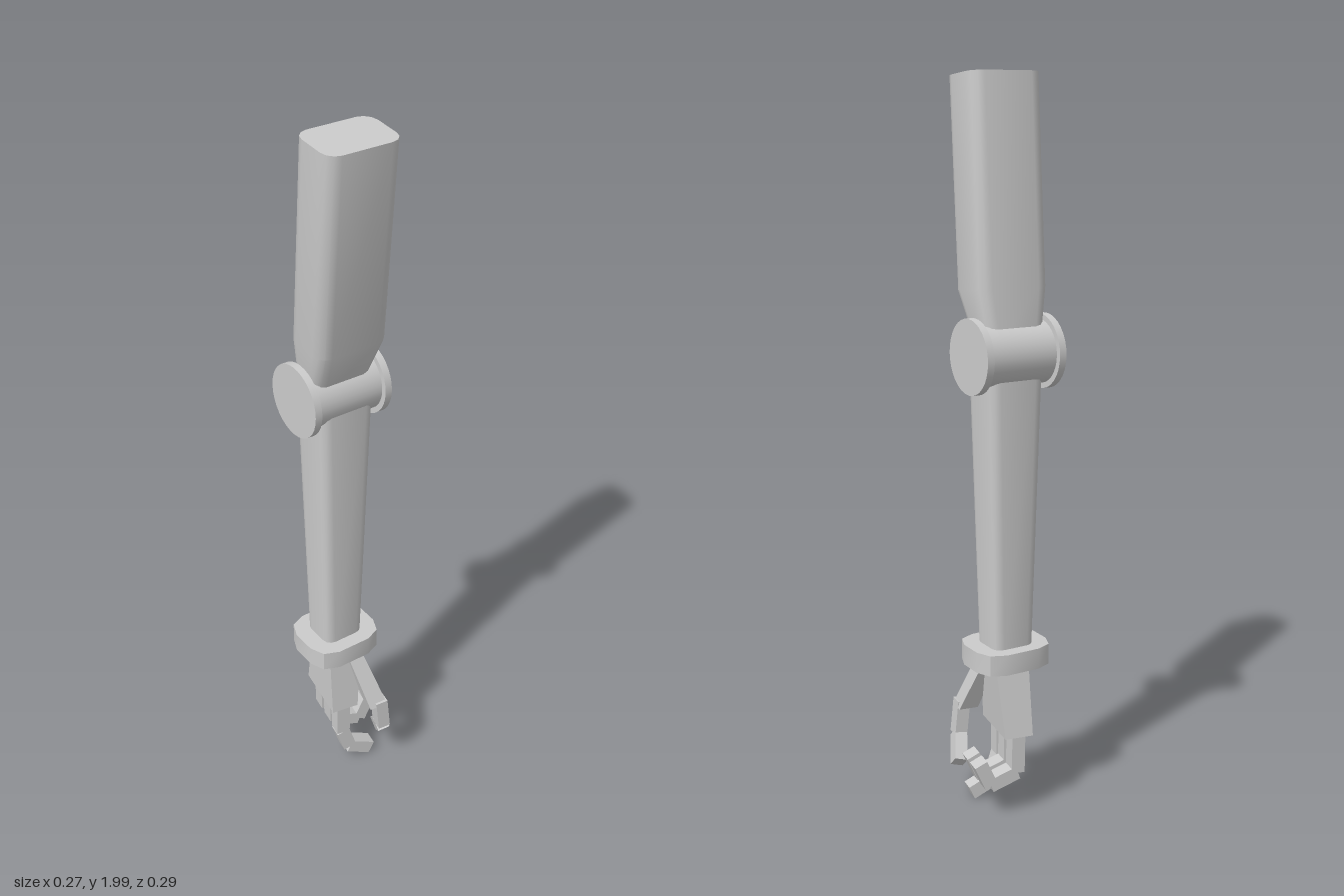
import * as THREE from 'three';
import { toCreasedNormals } from 'three/addons/utils/BufferGeometryUtils.js';

const material = new THREE.MeshStandardMaterial({ color: 0xcccccc });
const YAW = THREE.MathUtils.degToRad(10);
const TILT = THREE.MathUtils.degToRad(5.5);

function addMesh(parent, name, geometry) {
  const mesh = new THREE.Mesh(geometry, material);
  mesh.name = name;
  parent.add(mesh);
  return mesh;
}

// Loft through rounded rectangles: { y, x, z, w, d, r }, k arc steps per corner
function loft(sections, k) {
  const pos = [], index = [], n = 4 * (k + 1);
  for (const { y, x = 0, z = 0, w, d, r = 0 } of sections) {
    for (let c = 0; c < 4; c++) {
      const sx = c === 0 || c === 3 ? 1 : -1, sz = c < 2 ? 1 : -1;
      for (let j = 0; j <= k; j++) {
        const a = (c + (k ? j / k : 0)) * Math.PI / 2;
        pos.push(x + sx * (w / 2 - r) + r * Math.cos(a), y, z + sz * (d / 2 - r) + r * Math.sin(a));
      }
    }
  }
  const last = (sections.length - 1) * n;
  for (let s = 0; s < last; s += n) {
    for (let i = 0; i < n; i++) {
      const a = s + i, b = s + (i + 1) % n;
      index.push(a, a + n, b, b, a + n, b + n);
    }
  }
  for (let i = 1; i < n - 1; i++) {
    index.push(0, i, i + 1, last, last + i + 1, last + i);
  }
  const g = new THREE.BufferGeometry();
  g.setAttribute('position', new THREE.Float32BufferAttribute(pos, 3));
  g.setIndex(index);
  return toCreasedNormals(g, 0.6);
}

// Box phalanges along a chain of points
function digit(parent, name, points, thick, width) {
  const group = new THREE.Group();
  group.name = name;
  for (let i = 0; i < points.length - 1; i++) {
    const a = new THREE.Vector3(...points[i]), b = new THREE.Vector3(...points[i + 1]);
    const dir = b.clone().sub(a);
    const bone = addMesh(group, 'phalanx', new THREE.BoxGeometry(thick, dir.length(), width));
    bone.position.copy(a).add(b).multiplyScalar(0.5);
    bone.quaternion.setFromUnitVectors(new THREE.Vector3(0, -1, 0), dir.normalize());
  }
  parent.add(group);
}

export function createModel() {
  const model = new THREE.Group();
  model.name = 'mechanicalArm';

  // Elbow hinge: barrel with a disc at each end
  const elbow = new THREE.Group();
  elbow.name = 'elbow';
  elbow.position.set(-0.006, 1.28, -0.029);
  elbow.rotation.y = YAW;
  model.add(elbow);
  addMesh(elbow, 'elbowBarrel', new THREE.CylinderGeometry(0.085, 0.085, 0.21, 32)).rotation.z = Math.PI / 2;
  for (const s of [-1, 1]) {
    const disc = addMesh(elbow, 'elbowDisc', new THREE.CylinderGeometry(0.1, 0.1, 0.02, 32));
    disc.rotation.z = Math.PI / 2;
    disc.position.x = s * 0.108;
  }

  // Upper arm, leaning forward, narrowing into the hinge
  const upperArm = addMesh(model, 'upperArm', loft([
    { y: 0.03, x: -0.003, z: 0, w: 0.165, d: 0.1, r: 0.03 },
    { y: 0.17, x: -0.005, z: 0.022, w: 0.21, d: 0.144, r: 0.036 },
    { y: 0.715, x: -0.013, z: 0.022, w: 0.21, d: 0.144, r: 0.036 },
  ], 3));
  upperArm.position.copy(elbow.position);
  upperArm.rotation.set(TILT, YAW, 0, 'YXZ');

  // Tapered forearm and wrist cuff
  const forearm = addMesh(model, 'forearm', loft([
    { y: 0.45, w: 0.12, d: 0.11, r: 0.025 },
    { y: 1.27, w: 0.168, d: 0.134, r: 0.03 },
  ], 3));
  forearm.position.set(-0.004, 0, -0.018);
  forearm.rotation.y = YAW;
  const cuff = addMesh(model, 'wristCuff', loft([
    { y: 0.42, w: 0.22, d: 0.19, r: 0.06 },
    { y: 0.478, w: 0.22, d: 0.19, r: 0.06 },
  ], 2));
  cuff.position.set(-0.004, 0, -0.016);
  cuff.rotation.y = YAW;

  // Hand: the palm faces +x
  const hand = new THREE.Group();
  hand.name = 'hand';
  model.add(hand);
  addMesh(hand, 'palm', loft([
    { y: 0.23, x: -0.01, z: -0.02, w: 0.08, d: 0.178 },
    { y: 0.43, x: -0.002, z: -0.014, w: 0.095, d: 0.125 },
  ], 0));

  // Index finger, almost straight
  digit(hand, 'indexFinger', [
    [-0.01, 0.24, 0.037], [-0.01, 0.125, 0.037], [0.012, 0.055, 0.037], [0.083, 0.022, 0.037],
  ], 0.04, 0.042);

  // Two curled fingers
  for (const z of [-0.022, -0.084]) {
    digit(hand, 'curledFinger', [
      [-0.01, 0.24, z], [-0.008, 0.125, z], [0.07, 0.098, z], [0.1, 0.165, z],
    ], 0.038, 0.045);
  }

  // Thumb: wedge base, then two phalanges
  addMesh(hand, 'thumbBase', loft([
    { y: 0.255, x: 0.072, z: 0.1, w: 0.055, d: 0.055 },
    { y: 0.42, x: 0.025, z: 0.035, w: 0.045, d: 0.055 },
  ], 0));
  digit(hand, 'thumb', [
    [0.08, 0.27, 0.108], [0.09, 0.17, 0.108], [0.112, 0.11, 0.045],
  ], 0.036, 0.042);

  return model;
}
